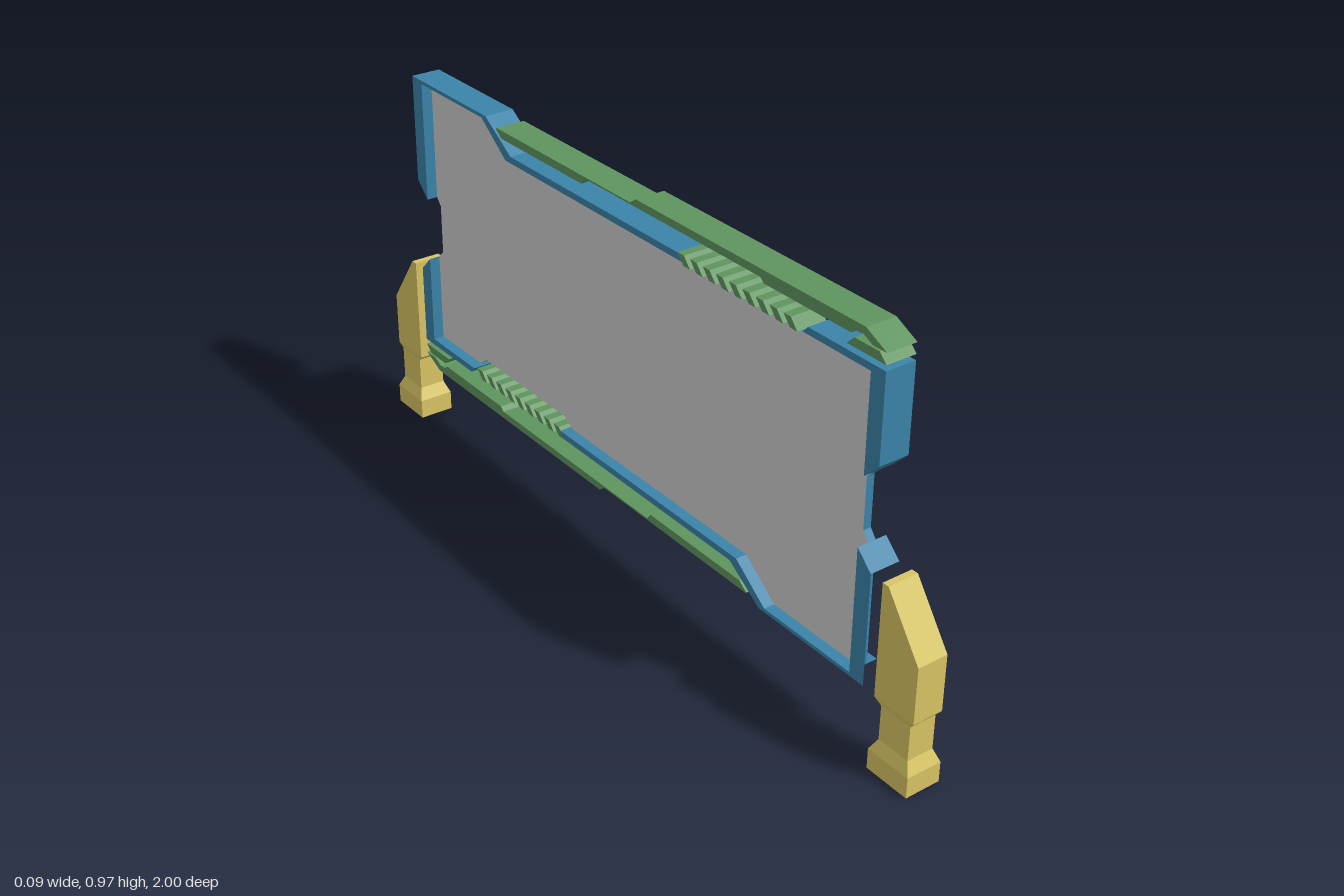
import * as THREE from 'three';

const MID = 1.155; // the panel repeats under a half turn: (z, y) -> (-z, MID - y)
const W = 0.0375;  // half width of frame and trim
const mat = (color, side = THREE.FrontSide) =>
  new THREE.MeshStandardMaterial({ color, side, flatShading: true });

// Extrude a (z, y) outline across x, centred on x = 0
function slab(points, half) {
  const shape = new THREE.Shape(points.map(([z, y]) => new THREE.Vector2(z, y)));
  return new THREE.ExtrudeGeometry(shape, { depth: 2 * half, bevelEnabled: false })
    .translate(0, 0, -half).rotateY(-Math.PI / 2);
}

// Half turn about the panel's centre
const turned = (geo) => geo.rotateX(Math.PI).translate(0, MID, 0);

function fromQuads(quads) {
  const pos = [];
  for (const [a, b, c, d] of quads) pos.push(...a, ...b, ...c, ...a, ...c, ...d);
  const geo = new THREE.BufferGeometry();
  geo.setAttribute('position', new THREE.Float32BufferAttribute(pos, 3));
  geo.computeVertexNormals();
  return geo;
}

// Rail between an outer and an inner (z, y) line; segments in `open` lack their outer face
function rail(outer, inner, open = []) {
  const at = ([z, y], s) => [s * W, y, z];
  const quads = [];
  const n = outer.length - 1;
  for (let i = 0; i < n; i++) {
    const p = outer[i], q = outer[i + 1], r = inner[i + 1], s = inner[i];
    if (!open.includes(i)) quads.push([at(p, 1), at(q, 1), at(q, -1), at(p, -1)]);
    quads.push([at(s, -1), at(r, -1), at(r, 1), at(s, 1)]);
    quads.push([at(p, -1), at(q, -1), at(r, -1), at(s, -1)]);
    quads.push([at(s, 1), at(r, 1), at(q, 1), at(p, 1)]);
  }
  quads.push([at(outer[0], 1), at(outer[0], -1), at(inner[0], -1), at(inner[0], 1)]);
  quads.push([at(inner[n], 1), at(inner[n], -1), at(outer[n], -1), at(outer[n], 1)]);
  return fromQuads(quads);
}

// Hollow leg lofted through rectangles: y, inner z, outer z, half width
function legGeometry() {
  const rings = [
    [0, 0.883, 1, 0.045], [0.05, 0.883, 1, 0.045],
    [0.08, 0.9, 0.985, 0.034], [0.165, 0.9, 0.985, 0.034],
    [0.18, 0.883, 0.997, 0.0385], [0.318, 0.883, 0.997, 0.0385],
    [0.455, 0.883, 0.9, 0.0385],
  ].map(([y, z0, z1, w]) => [[-w, y, z1], [w, y, z1], [w, y, z0], [-w, y, z0]]);
  const quads = [];
  for (let i = 0; i < rings.length - 1; i++)
    for (let k = 0; k < 4; k++) {
      const m = (k + 1) % 4;
      quads.push([rings[i][k], rings[i][m], rings[i + 1][m], rings[i + 1][k]]);
    }
  quads.push(rings[rings.length - 1]);
  return fromQuads(quads);
}

export function createModel() {
  const model = new THREE.Group();
  const blue = mat(0x3a83a8), green = mat(0x5f945f);
  const yellow = mat(0xd6c464, THREE.DoubleSide), grey = mat(0xcccccc);

  const add = (name, geo, material, parent = model) => {
    const mesh = new THREE.Mesh(geo, material);
    mesh.name = name;
    parent.add(mesh);
    return mesh;
  };

  // Thin panel with side notches and recesses for the teeth
  const half = [
    [0.79, 0.64], [0.81, 0.66], [0.81, 0.889], [0.63, 0.889], [0.6, 0.868],
    [0.255, 0.868], [0.22, 0.889], [-0.437, 0.889], [-0.535, 0.963],
    [-0.806, 0.963], [-0.806, 0.66], [-0.79, 0.64],
  ];
  const outline = [...half, ...half.map(([z, y]) => [-z, MID - y])];
  add('panel', slab(outline, 0.01), [grey, blue]);

  // Frame rails, upper pair and lower pair
  const cornerOut = [[0.81, 0.66], [0.85, 0.7], [0.85, 0.905], [0.63, 0.905]];
  const cornerIn = [[0.81, 0.66], [0.81, 0.68], [0.81, 0.889], [0.615, 0.889]];
  const longOut = [[0.22, 0.905], [-0.415, 0.905], [-0.517, 0.972],
    [-0.848, 0.972], [-0.848, 0.7], [-0.806, 0.66]];
  const longIn = [[0.235, 0.889], [-0.437, 0.889], [-0.535, 0.963],
    [-0.806, 0.963], [-0.806, 0.68], [-0.806, 0.66]];
  const frame = new THREE.Group();
  frame.name = 'frame';
  model.add(frame);
  add('upperCornerRail', rail(cornerOut, cornerIn), blue, frame);
  add('upperLongRail', rail(longOut, longIn), blue, frame);
  add('lowerCornerRail', turned(rail(cornerOut, cornerIn, [1])), blue, frame);
  add('lowerLongRail', turned(rail(longOut, longIn, [2, 3])), blue, frame);

  // Layered trim strips and slanted teeth along both long edges
  const trims = {
    trimCap: [[0.79, 0.972], [0.07, 0.972], [0.05, 0.957], [0.78, 0.957],
      [0.81, 0.943], [0.85, 0.943]],
    trimEnd: [[0.83, 0.938], [0.76, 0.938], [0.74, 0.918], [0.85, 0.918]],
    trimMiddle: [[0.77, 0.957], [0.48, 0.957], [0.495, 0.944], [0.75, 0.944]],
    trimPlate: [[0.78, 0.958], [-0.47, 0.958], [-0.47, 0.954], [0.78, 0.954]],
    trimBack: [[-0.115, 0.956], [-0.475, 0.956], [-0.45, 0.938], [-0.13, 0.938]],
  };
  for (const edge of ['upper', 'lower']) {
    const group = new THREE.Group();
    group.name = edge + 'Trim';
    model.add(group);
    const place = (geo) => (edge === 'lower' ? turned(geo) : geo);
    for (const [name, pts] of Object.entries(trims))
      add(name, place(slab(pts, W)), green, group);
    for (let i = 0; i < 9; i++) {
      const z = 0.6 - i * 0.0425;
      const tooth = [[z, 0.882], [z - 0.022, 0.882], [z - 0.043, 0.906], [z - 0.021, 0.906]];
      add('tooth', place(slab(tooth, W)), green, group);
    }
  }

  // Front and back legs
  add('frontLeg', legGeometry(), yellow);
  add('backLeg', legGeometry().rotateY(Math.PI), yellow);

  return model;
}
